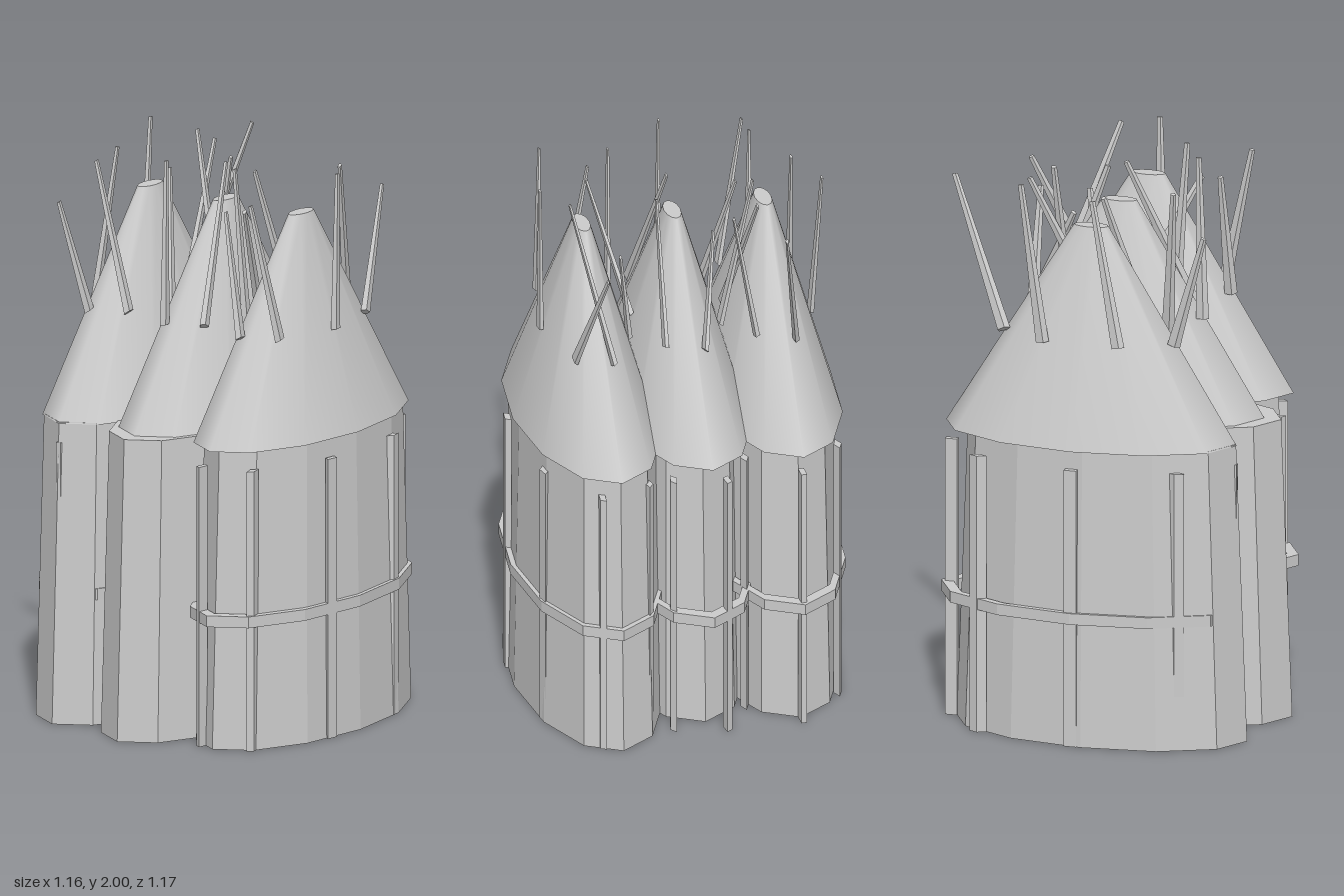
import * as THREE from 'three';
import { toCreasedNormals } from 'three/addons/utils/BufferGeometryUtils.js';

const SQUASH = 0.467;   // the huts are narrow ovals: x is squashed
const SPACING = 0.325;
const CENTRE_Z = -0.038;

// Per hut: wall shift in z, first post angle, stick tips [x, y, z] around the roof
const HUTS = [
  { name: 'rightHut', x: -SPACING, wallZ: 0.0, postStart: 0, tips: [
    [-0.235, 1.93, -0.29], [-0.333, 1.95, 0.26], [-0.397, 1.82, 0.39], [-0.437, 1.93, 0.0],
    [-0.478, 1.98, -0.245], [-0.268, 1.93, -0.55], [-0.155, 1.88, -0.275]] },
  { name: 'middleHut', x: 0, wallZ: 0.06, postStart: 30, tips: [
    [0.245, 1.84, 0.18], [0.015, 1.94, -0.02], [-0.035, 1.995, 0.257], [-0.23, 1.88, -0.025],
    [-0.243, 1.98, -0.2], [-0.11, 1.78, -0.17], [0.075, 1.9, -0.105]] },
  { name: 'leftHut', x: SPACING, wallZ: -0.053, postStart: 15, tips: [
    [0.475, 1.965, -0.045], [0.375, 1.91, 0.32], [0.22, 1.85, 0.255], [0.178, 1.975, 0.148],
    [0.236, 1.76, -0.222], [0.4, 1.96, -0.16], [0.35, 1.82, -0.47]] },
];

const flat = (geometry) => toCreasedNormals(geometry, 0.2);

export function createModel() {
  const model = new THREE.Group();
  model.name = 'hutCluster';
  const grey = new THREE.MeshStandardMaterial({ color: 0xcccccc });
  grey.name = 'plain grey';

  const wallGeo = flat(new THREE.CylinderGeometry(0.485, 0.525, 1.067, 12));
  const roofGeo = new THREE.CylinderGeometry(0.062, 0.525, 0.748, 12);
  const postGeo = new THREE.BoxGeometry(0.044, 0.995, 0.044);

  // Square-section hoop
  const hoopProfile = [[0.5, -0.02], [0.543, -0.02], [0.543, 0.02], [0.5, 0.02], [0.5, -0.02]];
  const hoopGeo = flat(new THREE.LatheGeometry(hoopProfile.map(([r, y]) => new THREE.Vector2(r, y)), 12));

  const add = (parent, name, geometry, x, y, z) => {
    const mesh = new THREE.Mesh(geometry, grey);
    mesh.name = name;
    mesh.position.set(x, y, z);
    parent.add(mesh);
    return mesh;
  };

  // Tapered stick between two points
  const addStick = (parent, from, to) => {
    const dir = to.clone().sub(from);
    const geo = flat(new THREE.CylinderGeometry(0.011, 0.025, dir.length(), 5));
    const mid = from.clone().add(to).multiplyScalar(0.5);
    const stick = add(parent, 'roofStick', geo, mid.x, mid.y, mid.z);
    stick.quaternion.setFromUnitVectors(new THREE.Vector3(0, 1, 0), dir.normalize());
  };

  for (const { name, x, wallZ, postStart, tips } of HUTS) {
    const hut = new THREE.Group();
    hut.name = name;
    hut.position.set(x, 0, CENTRE_Z);
    hut.scale.x = SQUASH;
    model.add(hut);

    add(hut, 'wall', wallGeo, 0, 0.5335, wallZ - CENTRE_Z);
    add(hut, 'roof', roofGeo, 0, 1.436, 0);
    add(hut, 'hoop', hoopGeo, 0, 0.462, 0);

    // Eight upright posts around the wall
    for (let i = 0; i < 8; i++) {
      const a = THREE.MathUtils.degToRad(postStart + i * 45);
      const post = add(hut, 'post', postGeo, 0.505 * Math.cos(a), 0.4975, 0.505 * Math.sin(a));
      post.rotation.y = -a;
    }

    // Seven sticks rising from the roof
    tips.forEach(([tx, ty, tz], i) => {
      const a = (i / 7) * Math.PI * 2;
      const base = new THREE.Vector3(0.315 * Math.cos(a), 1.415, 0.315 * Math.sin(a));
      const tip = new THREE.Vector3((tx - x) / SQUASH, ty, tz - CENTRE_Z);
      addStick(hut, base, tip);
    });
  }
  return model;
}
